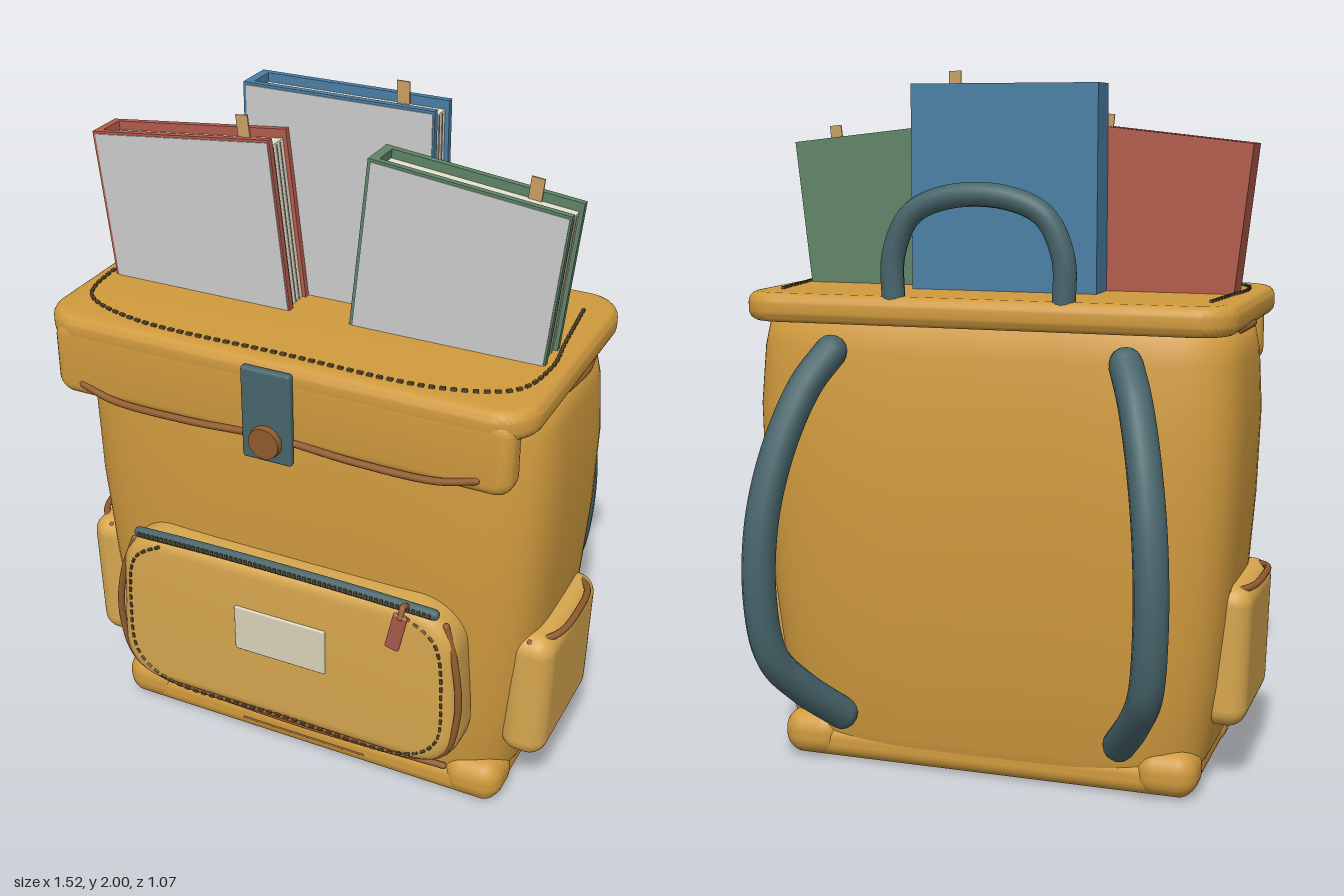
import * as THREE from 'three';
import { mergeGeometries, toCreasedNormals } from 'three/addons/utils/BufferGeometryUtils.js';
import { RoundedBoxGeometry } from 'three/addons/geometries/RoundedBoxGeometry.js';

const C = { canvas: 0xd09a3e, pocket: 0xd6a64e, piping: 0x8f5a2c, strap: 0x47656b, thread: 0x5f4d2c,
  pages: 0xe6e0d0, red: 0xb25b4b, blue: 0x4a7fa5, green: 0x5f8467, tab: 0xc99f62, cover: 0xcccccc };

const V = (x, y, z) => new THREE.Vector3(x, y, z);
const curve = (pts) => new THREE.CatmullRomCurve3(pts.map((p) => V(...p)));

function add(parent, name, geo, color, x = 0, y = 0, z = 0) {
  const m = new THREE.Mesh(geo, new THREE.MeshStandardMaterial({ color }));
  m.name = name;
  m.position.set(x, y, z);
  parent.add(m);
  return m;
}

// Soft box given by its minimum and maximum corners
function softBox(parent, name, color, a, b, r) {
  const s = b.map((v, i) => v - a[i]);
  const geo = new RoundedBoxGeometry(s[0], s[1], s[2], 4, r);
  return add(parent, name, geo, color, ...a.map((v, i) => (v + b[i]) / 2));
}

// Rounded rectangle pillow, w by h with corner radius r, thickness d along z
function pillow(w, h, r, d, bevel) {
  const x = w / 2 - bevel, y = h / 2 - bevel, q = Math.max(r - bevel, 0.005);
  const s = new THREE.Shape();
  s.absarc(x - q, y - q, q, 0, Math.PI / 2);
  s.absarc(q - x, y - q, q, Math.PI / 2, Math.PI);
  s.absarc(q - x, q - y, q, Math.PI, Math.PI * 1.5);
  s.absarc(x - q, q - y, q, Math.PI * 1.5, Math.PI * 2);
  const geo = new THREE.ExtrudeGeometry(s, { depth: d - 2 * bevel, bevelSize: bevel,
    bevelThickness: bevel, bevelSegments: 5, curveSegments: 10 });
  geo.center();
  return toCreasedNormals(geo, 0.7);
}

// Round cord with optional domed ends
function cord(parent, name, pts, r, color, ends = true) {
  const path = curve(pts);
  const parts = [new THREE.TubeGeometry(path, 48, r, 12)];
  if (ends) for (const t of [0, 1]) {
    const p = path.getPoint(t);
    parts.push(new THREE.SphereGeometry(r, 12, 8).translate(p.x, p.y, p.z));
  }
  return add(parent, name, mergeGeometries(parts), color);
}

// Row of stitches along a curve
function stitches(parent, name, path, n, size = 0.007) {
  const len = path.getLength() / n * 0.55, parts = [];
  for (let i = 0; i < n; i++) {
    const t = (i + 0.5) / n;
    const q = new THREE.Quaternion().setFromUnitVectors(V(0, 0, 1), path.getTangentAt(t));
    parts.push(new THREE.BoxGeometry(size, size, len)
      .applyMatrix4(new THREE.Matrix4().compose(path.getPointAt(t), q, V(1, 1, 1))));
  }
  add(parent, name, mergeGeometries(parts), C.thread);
}

// Barrelled body: superellipse rings of [y, half width, back z, front z]
function bodyGeometry() {
  const rings = [[0.03, 0.6, -0.21, 0.33], [0.1, 0.635, -0.23, 0.35], [0.3, 0.663, -0.255, 0.372],
    [0.5, 0.683, -0.272, 0.388], [0.8, 0.705, -0.284, 0.4], [1.05, 0.714, -0.274, 0.395],
    [1.22, 0.705, -0.252, 0.382], [1.3, 0.69, -0.235, 0.365], [1.33, 0.6, -0.2, 0.33]];
  const n = 72, pos = [], idx = [];
  const pow = (v) => Math.sign(v) * Math.abs(v) ** 0.42;
  rings.forEach(([y, w, zb, zf], j) => {
    for (let i = 0; i < n; i++) {
      const t = (i / n) * Math.PI * 2;
      pos.push(w * pow(Math.cos(t)), y, (zb + zf) / 2 + (zf - zb) / 2 * pow(Math.sin(t)));
      if (j) {
        const a = (j - 1) * n + i, b = (j - 1) * n + (i + 1) % n;
        idx.push(a, a + n, b, b, a + n, b + n);
      }
    }
  });
  const g = new THREE.BufferGeometry();
  g.setAttribute('position', new THREE.Float32BufferAttribute(pos, 3));
  g.setIndex(idx);
  g.computeVertexNormals();
  return g;
}

// Book hanging down from the middle of its top edge, spine towards -x
function book(parent, name, color, x, y, z, h, tilt) {
  const g = new THREE.Group(), w = 0.55, d = 0.112, c = 0.018;
  g.name = name;
  g.position.set(x, y, z);
  g.rotation.z = tilt;
  for (const s of [-1, 1])
    add(g, s > 0 ? 'frontBoard' : 'backBoard', new THREE.BoxGeometry(w, h, c), color, 0, -h / 2, s * (d - c) / 2);
  add(g, 'spine', new THREE.BoxGeometry(0.025, h, d), color, -w / 2 + 0.0125, -h / 2, 0);
  add(g, 'pages', new THREE.BoxGeometry(w - 0.035, h - 0.025, d - 2 * c), C.pages, 0.006, -h / 2 - 0.0125, 0);
  for (let i = -1; i <= 1; i++)
    add(g, 'pageLine', new THREE.BoxGeometry(0.003, h - 0.03, 0.003), 0xaaa494, w / 2 - 0.011, -h / 2 - 0.015, i * 0.02);
  add(g, 'coverSheet', new THREE.BoxGeometry(w - 0.014, h - 0.014, 0.004), C.cover, 0.002, -h / 2, d / 2 + 0.001);
  add(g, 'bookmark', new THREE.BoxGeometry(0.036, 0.12, 0.005), C.tab, 0.148, -0.025, -0.035);
  parent.add(g);
}

export function createModel() {
  const bag = new THREE.Group();
  bag.name = 'backpack';

  // Body and base
  add(bag, 'body', bodyGeometry(), C.canvas);
  softBox(bag, 'base', C.canvas, [-0.615, 0, -0.22], [0.615, 0.105, 0.35], 0.045);
  for (const s of [-1, 1]) for (const z of [-0.15, 0.275]) {
    const m = softBox(bag, 'baseCorner', C.canvas, [-0.09, 0, -0.078], [0.09, 0.135, 0.085], 0.06);
    m.position.x = s * 0.535;
    m.position.z = z;
  }
  cord(bag, 'basePiping', [[-0.46, 0.105, 0.352], [0, 0.098, 0.36], [0.46, 0.105, 0.352]], 0.01, C.piping);
  cord(bag, 'baseSeam', [[-0.2, 0.045, 0.347], [0.2, 0.045, 0.347]], 0.005, C.piping);

  // Lid and front flap
  const lid = pillow(1.42, 0.78, 0.11, 0.083, 0.03).rotateX(-Math.PI / 2);
  add(bag, 'lid', lid, C.canvas, 0, 1.342, 0.11);
  add(bag, 'flap', pillow(1.34, 0.22, 0.05, 0.09, 0.035), C.canvas, 0, 1.253, 0.455);
  cord(bag, 'flapPiping', [[-0.58, 1.185, 0.498], [-0.48, 1.163, 0.508], [-0.25, 1.158, 0.508], [0, 1.166, 0.5],
    [0.25, 1.158, 0.508], [0.48, 1.163, 0.508], [0.58, 1.185, 0.498]], 0.01, C.piping);
  for (const s of [-1, 1]) {
    cord(bag, 'lidSidePiping', [[s * 0.69, 1.302, 0.15], [s * 0.705, 1.31, 0.05], [s * 0.69, 1.302, -0.05]], 0.01, C.piping);
    cord(bag, 'underLidPiping', [[s * 0.6, 1.3, 0.37], [s * 0.62, 1.27, 0.39], [s * 0.64, 1.23, 0.385]], 0.01, C.piping);
  }
  stitches(bag, 'lidStitching', curve([[-0.625, 1.386, -0.15], [-0.645, 1.386, 0.05], [-0.662, 1.386, 0.22],
    [-0.625, 1.386, 0.36], [-0.45, 1.386, 0.435], [0, 1.386, 0.443], [0.45, 1.386, 0.435], [0.625, 1.386, 0.36],
    [0.662, 1.386, 0.22], [0.645, 1.386, 0.05], [0.625, 1.386, -0.15]]), 84, 0.009);
  softBox(bag, 'closureTab', C.strap, [-0.073, 1.1, 0.497], [0.073, 1.37, 0.522], 0.01);
  const button = new THREE.CylinderGeometry(0.044, 0.048, 0.022, 28).rotateX(Math.PI / 2);
  add(bag, 'button', button, C.piping, 0, 1.163, 0.528);

  // Front pocket, narrowing slightly upwards
  const pocket = pillow(1.09, 0.53, 0.14, 0.15, 0.045);
  const p = pocket.attributes.position;
  for (let i = 0; i < p.count; i++) p.setX(i, p.getX(i) * (0.98 - 0.1 * p.getY(i)));
  add(pocket && bag, 'frontPocket', pocket, C.pocket, 0, 0.455, 0.4);
  for (const s of [-1, 1])
    cord(bag, 'pocketPiping', [[s * 0.49, 0.67, 0.44], [s * 0.527, 0.55, 0.455], [s * 0.54, 0.4, 0.46],
      [s * 0.5, 0.25, 0.455], [s * 0.4, 0.2, 0.45], [s * 0.2, 0.192, 0.45], [0, 0.192, 0.45]], 0.01, C.piping);
  const outline = [[-0.38, 0.695], [-0.47, 0.63], [-0.495, 0.45], [-0.48, 0.29], [-0.39, 0.22], [0, 0.215],
    [0.39, 0.22], [0.48, 0.29], [0.495, 0.45], [0.47, 0.63], [0.38, 0.695]];
  stitches(bag, 'pocketStitching', curve(outline.map(([x, y]) => [x, y, 0.476])), 70);
  softBox(bag, 'label', 0xd9d2b8, [-0.143, 0.418, 0.465], [0.143, 0.565, 0.482], 0.005);

  // Zip with teeth and pull
  const zip = [[-0.46, 0.71, 0.455], [-0.25, 0.722, 0.463], [0, 0.726, 0.466], [0.25, 0.722, 0.463], [0.46, 0.71, 0.455]];
  cord(bag, 'zip', zip, 0.016, C.strap);
  stitches(bag, 'zipTeeth', curve(zip.map(([x, y, z]) => [x, y + 0.002, z + 0.013])), 60, 0.012);
  const pull = softBox(bag, 'zipPull', 0xa8584a, [0.352, 0.6, 0.5], [0.394, 0.72, 0.514], 0.006);
  pull.rotation.z = -0.22;
  cord(bag, 'pullLoop', [[0.385, 0.71, 0.508], [0.385, 0.735, 0.49], [0.385, 0.72, 0.465]], 0.009, C.piping);

  // Side pockets and shoulder straps
  for (const s of [-1, 1]) {
    const side = softBox(bag, 'sidePocket', C.pocket, [-0.068, 0.18, -0.105], [0.068, 0.59, 0.31], 0.055);
    side.position.x = s * 0.672;
    side.rotation.z = -s * 0.03;
    cord(bag, 'sidePocketRim', [[s * 0.675, 0.572, 0.285], [s * 0.735, 0.58, 0.22], [s * 0.752, 0.588, 0.1],
      [s * 0.735, 0.58, -0.02], [s * 0.675, 0.572, -0.085]], 0.01, C.piping);
    const path = [[1.225, -0.265], [1.14, -0.34], [0.98, -0.42], [0.78, -0.475], [0.56, -0.487],
      [0.38, -0.455], [0.27, -0.37], [0.16, -0.25]];
    cord(bag, 'shoulderStrap', path.map(([y, z]) => [s * (0.425 + 0.58 * (-z - 0.265)), y, z]), 0.047, C.strap);
  }

  // Carry handle
  cord(bag, 'handle', [[-0.245, 1.36, -0.237], [-0.243, 1.5, -0.237], [-0.19, 1.61, -0.237], [-0.08, 1.658, -0.237],
    [0.08, 1.658, -0.237], [0.19, 1.61, -0.237], [0.243, 1.5, -0.237], [0.245, 1.36, -0.237]], 0.033, C.strap);

  // Books standing in the lid
  book(bag, 'redBook', C.red, -0.417, 1.83, 0.148, 0.5, 0.11);
  book(bag, 'greenBook', C.green, 0.415, 1.83, 0.152, 0.5, -0.11);
  book(bag, 'blueBook', C.blue, -0.003, 1.965, 0.034, 0.62, 0);
  return bag;
}
